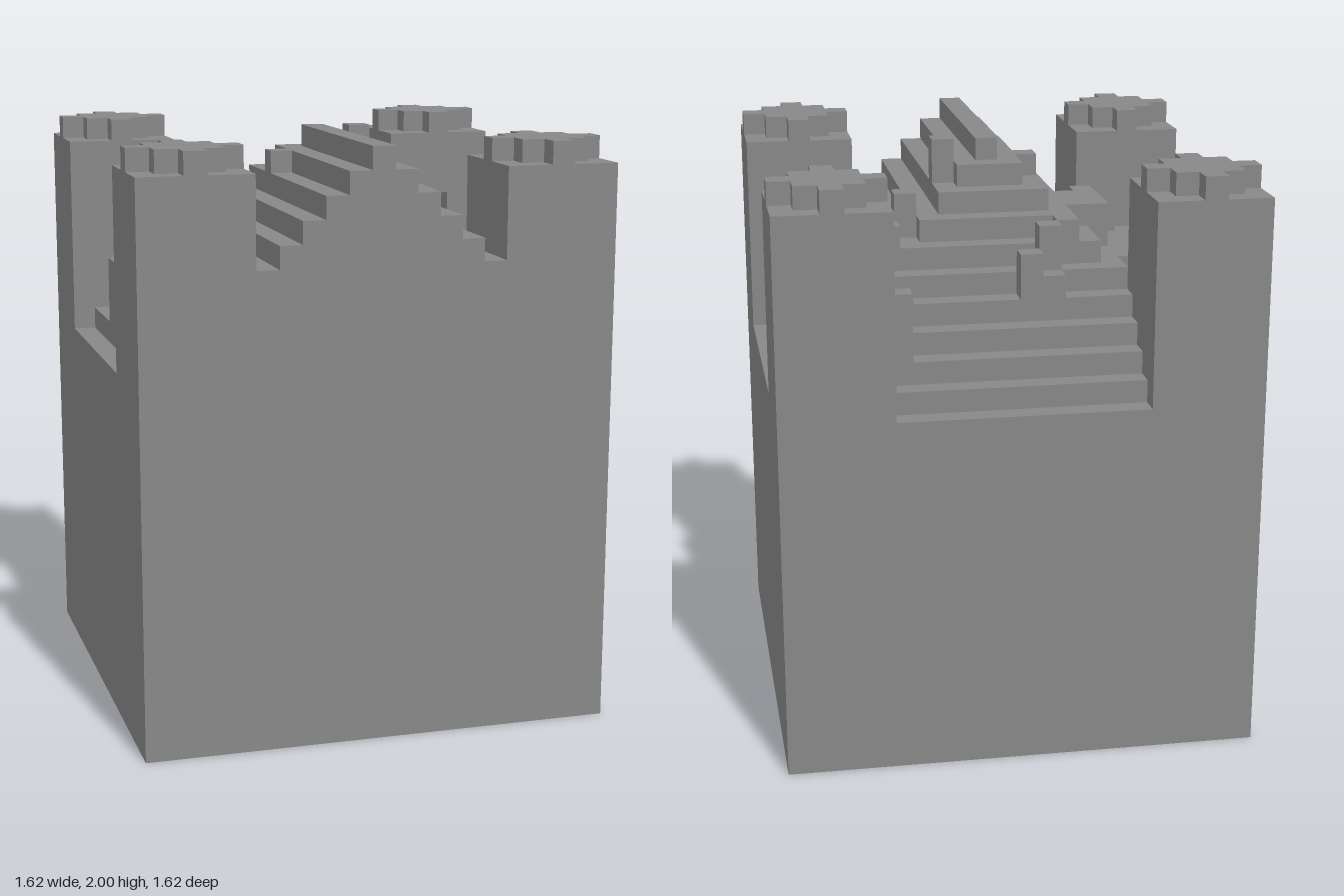
import * as THREE from 'three';

const U = 1 / 13; // one block

export function createModel() {
  const model = new THREE.Group();
  model.name = 'steppedFortress';
  const stone = new THREE.MeshStandardMaterial({ color: 0x888888 });
  stone.name = 'grey stone';

  // Box covering whole block cells x0..x1 and z0..z1 (inclusive), from level y0 to y1
  function blocks(parent, name, x0, x1, y0, y1, z0, z1) {
    const geo = new THREE.BoxGeometry((x1 - x0 + 1) * U, (y1 - y0) * U, (z1 - z0 + 1) * U);
    const mesh = new THREE.Mesh(geo, stone);
    mesh.name = name;
    mesh.position.set((x0 + x1) / 2 * U, (y0 + y1) / 2 * U, (z0 + z1) / 2 * U);
    parent.add(mesh);
  }
  function group(name) {
    const g = new THREE.Group();
    g.name = name;
    model.add(g);
    return g;
  }

  // Solid plinth
  blocks(model, 'base', -10, 10, 0, 16, -10, 10);

  // Stepped roof: every tier shrinks by one block on the sides and back
  const roof = group('steppedRoof');
  for (let n = 9; n >= 0; n--) {
    const y = 25 - n;
    if (n === 6) { // one block missing at the back edge of this tier
      blocks(roof, 'tier', -6, 4, y, y + 1, -6, 5);
      blocks(roof, 'tier', 5, 5, y, y + 1, -5, 5);
      blocks(roof, 'tier', 6, 6, y, y + 1, -6, 5);
      blocks(roof, 'tier', -5, 5, y, y + 1, 6, 10);
    } else if (n === 5) {
      blocks(roof, 'tier', -5, 5, y, y + 1, -5, 10);
    } else {
      blocks(roof, 'tier', -n, n, y, y + 1, -n, n > 5 ? 5 : 10);
      if (n > 5) blocks(roof, 'tier', -5, 5, y, y + 1, 6, 10);
    }
  }

  // Corner towers with a window slot facing the courtyard and a diamond crown
  for (const sx of [-1, 1]) {
    for (const sz of [-1, 1]) {
      const tower = group((sz > 0 ? 'front' : 'back') + (sx > 0 ? 'Left' : 'Right') + 'Tower');
      const cx = 8 * sx, cz = 8 * sz;
      blocks(tower, 'towerBody', cx - 2, cx + 2, 16, 20, cz - 2, cz + 2);
      blocks(tower, 'slotSide', cx - 2, cx - 1, 20, 22, cz - 2, cz + 2);
      blocks(tower, 'slotSide', cx + 1, cx + 2, 20, 22, cz - 2, cz + 2);
      blocks(tower, 'slotBack', cx, cx, 20, 22, cz - (sz < 0 ? 2 : 1), cz + (sz < 0 ? 1 : 2));
      blocks(tower, 'towerTop', cx - 2, cx + 2, 22, 25, cz - 2, cz + 2);
      for (let d = -2; d <= 2; d++) {
        const w = 2 - Math.abs(d);
        blocks(tower, 'crown', cx - w, cx + w, 25, 26, cz + d, cz + d);
      }
    }
  }

  // Side terraces
  const terraces = group('sideTerraces');
  blocks(terraces, 'terrace', 6, 9, 16, 20, -1, 5);
  blocks(terraces, 'terrace', -9, -6, 16, 20, 0, 5);
  blocks(terraces, 'terraceEnd', -9, -8, 16, 20, -1, -1);

  // Flat-topped dormers running into the roof on both sides
  const dormers = group('dormers');
  blocks(dormers, 'dormer', 3, 5, 20, 23, -1, 1);
  blocks(dormers, 'dormer', -5, -3, 20, 23, -1, 1);

  // Scattered pillars and loose blocks: x, z, bottom level, top level
  const ruins = group('ruinBlocks');
  const pillars = [
    [9, 4, 20, 23], [9, -1, 20, 23], [9, 0, 20, 21], [7, 2, 20, 21], [7, -5, 18, 20],
    [-9, 1, 20, 21], [-6, -3, 20, 21], [-5, 2, 21, 23], [-2, 1, 24, 25],
    [2, 0, 24, 26], [4, -2, 22, 24], [5, -4, 21, 23], [5, -8, 18, 21],
    [-3, -4, 22, 23], [-2, -5, 21, 23], [-2, -6, 20, 21], [-1, -6, 20, 22],
  ];
  for (const [x, z, y0, y1] of pillars) blocks(ruins, 'pillar', x, x, y0, y1, z, z);

  return model;
}
